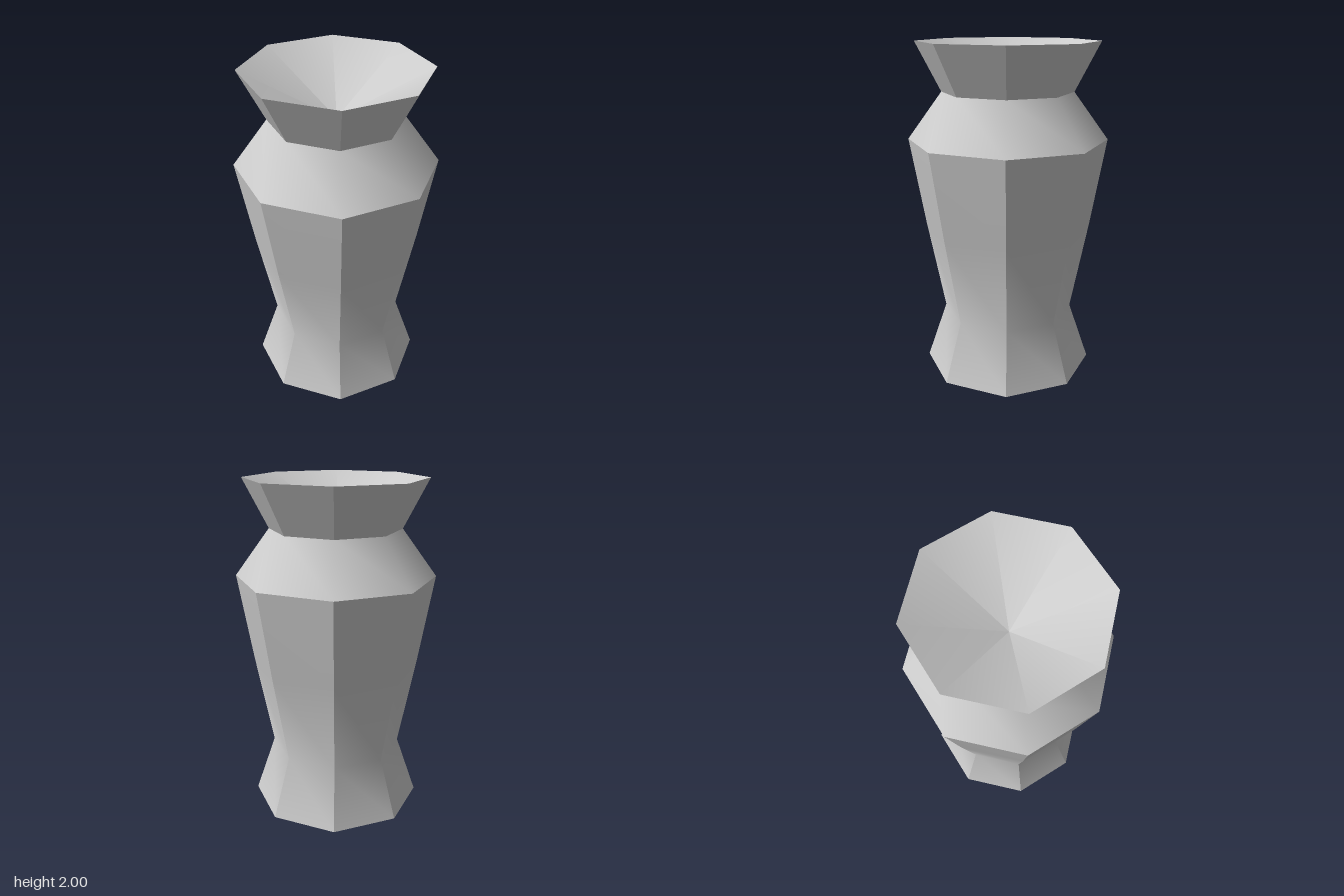
import * as THREE from 'three';
import { toCreasedNormals } from 'three/addons/utils/BufferGeometryUtils.js';

const SIDES = 8;
const CREASE = THREE.MathUtils.degToRad(39);

// Eight-sided turned surface; steep facets stay sharp, shallow ones blend
function turned(name, profile, material) {
  const points = profile.map(([r, y]) => new THREE.Vector2(r, y));
  const geometry = toCreasedNormals(new THREE.LatheGeometry(points, SIDES), CREASE);
  const mesh = new THREE.Mesh(geometry, material);
  mesh.name = name;
  return mesh;
}

export function createModel() {
  const group = new THREE.Group();
  group.name = 'vase';

  const clay = new THREE.MeshStandardMaterial({ color: 0xcccccc, side: THREE.DoubleSide });
  clay.name = 'pale grey clay';

  // Thin outer wall, open underneath: foot, waist, belly, shoulder, neck, rim
  group.add(turned('outerWall', [
    [0.515, 0], [0.395, 0.355], [0.502, 0.9], [0.595, 1.43], [0.39, 1.71], [0.54, 2],
  ], clay));

  // Shallow dished mouth closing the top
  group.add(turned('mouth', [[0.54, 2], [0, 1.71]], clay));

  return group;
}
